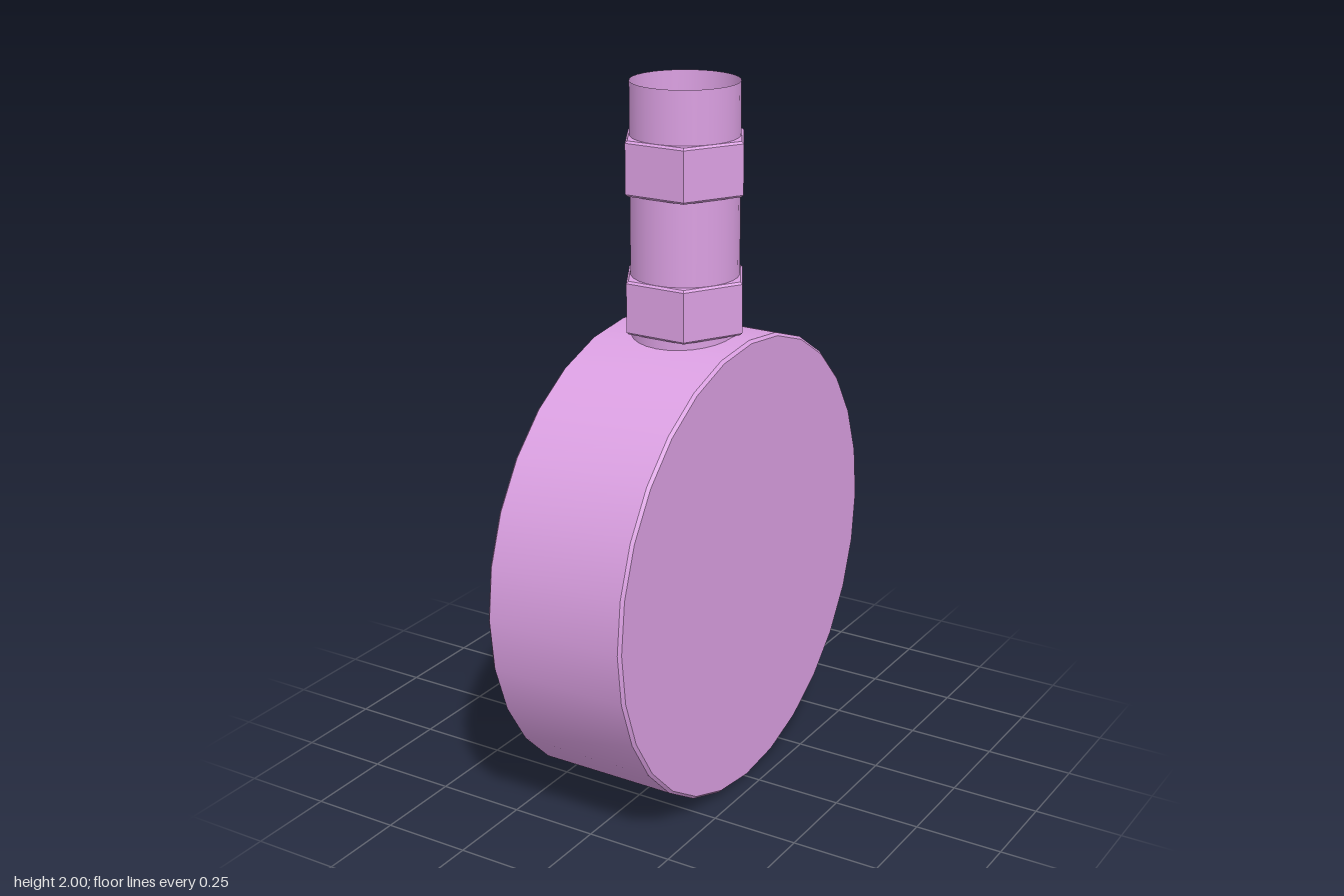
import * as THREE from 'three';
import { toCreasedNormals } from 'three/addons/utils/BufferGeometryUtils.js';

const SIDES = 28;
const RADIUS = 0.66;
const HALF = 0.208;

const material = new THREE.MeshStandardMaterial({ color: 0xda9fe1 });
const openMaterial = material.clone();
openMaterial.side = THREE.DoubleSide;

function part(name, geometry, mat = material) {
  const mesh = new THREE.Mesh(geometry, mat);
  mesh.name = name;
  return mesh;
}

// Round drum with softened edges; the dial side (-x) is recessed
function caseGeometry() {
  const bevel = 0.008;
  const profile = [
    [0, -HALF], [RADIUS - bevel, -HALF], [RADIUS, -HALF + bevel],
    [RADIUS, HALF - bevel], [RADIUS - bevel, HALF],
    [RADIUS - 0.016, HALF], [RADIUS - 0.02, HALF - 0.05], [0, HALF - 0.05],
  ].map(([r, y]) => new THREE.Vector2(r, y));
  const geometry = new THREE.LatheGeometry(profile, SIDES).rotateZ(Math.PI / 2);
  return toCreasedNormals(geometry, 0.5);
}

// Hexagonal nut standing on y = bottom, corners on the x axis
function nutGeometry(bottom, height) {
  const bevel = 0.006;
  const r = 0.178 - bevel;
  const hexagon = new THREE.Shape(Array.from({ length: 6 }, (_, i) =>
    new THREE.Vector2(r * Math.cos(i * Math.PI / 3), r * Math.sin(i * Math.PI / 3))));
  return new THREE.ExtrudeGeometry(hexagon, {
    depth: height - 2 * bevel, bevelEnabled: true,
    bevelThickness: bevel, bevelSize: bevel, bevelSegments: 1,
  }).rotateX(-Math.PI / 2).translate(0, bottom + bevel, 0);
}

// Flat pointer with a flared tail, drawn in z-y about the dial centre
function needleGeometry() {
  const w = 0.017;
  const outline = new THREE.Shape([
    [-w, 0.59], [-w, -0.04], [-0.065, -0.14], [0.065, -0.14], [w, -0.04], [w, 0.59],
  ].map(([z, y]) => new THREE.Vector2(z, y)));
  return new THREE.ExtrudeGeometry(outline, { depth: 0.025, bevelEnabled: false })
    .rotateY(-Math.PI / 2);
}

export function createModel() {
  const model = new THREE.Group();
  model.name = 'pressureGauge';

  const body = part('case', caseGeometry());
  body.position.y = RADIUS;
  model.add(body);

  const needle = part('needle', needleGeometry());
  needle.position.set(-HALF + 0.051, RADIUS, 0);
  model.add(needle);

  // Open pipe rising from the case
  const pipe = part('pipe', new THREE.CylinderGeometry(0.148, 0.148, 0.72, SIDES, 1, true), openMaterial);
  pipe.position.y = 1.64;
  model.add(pipe);

  model.add(part('lowerNut', nutGeometry(1.33, 0.148)));
  model.add(part('upperNut', nutGeometry(1.708, 0.148)));
  return model;
}
